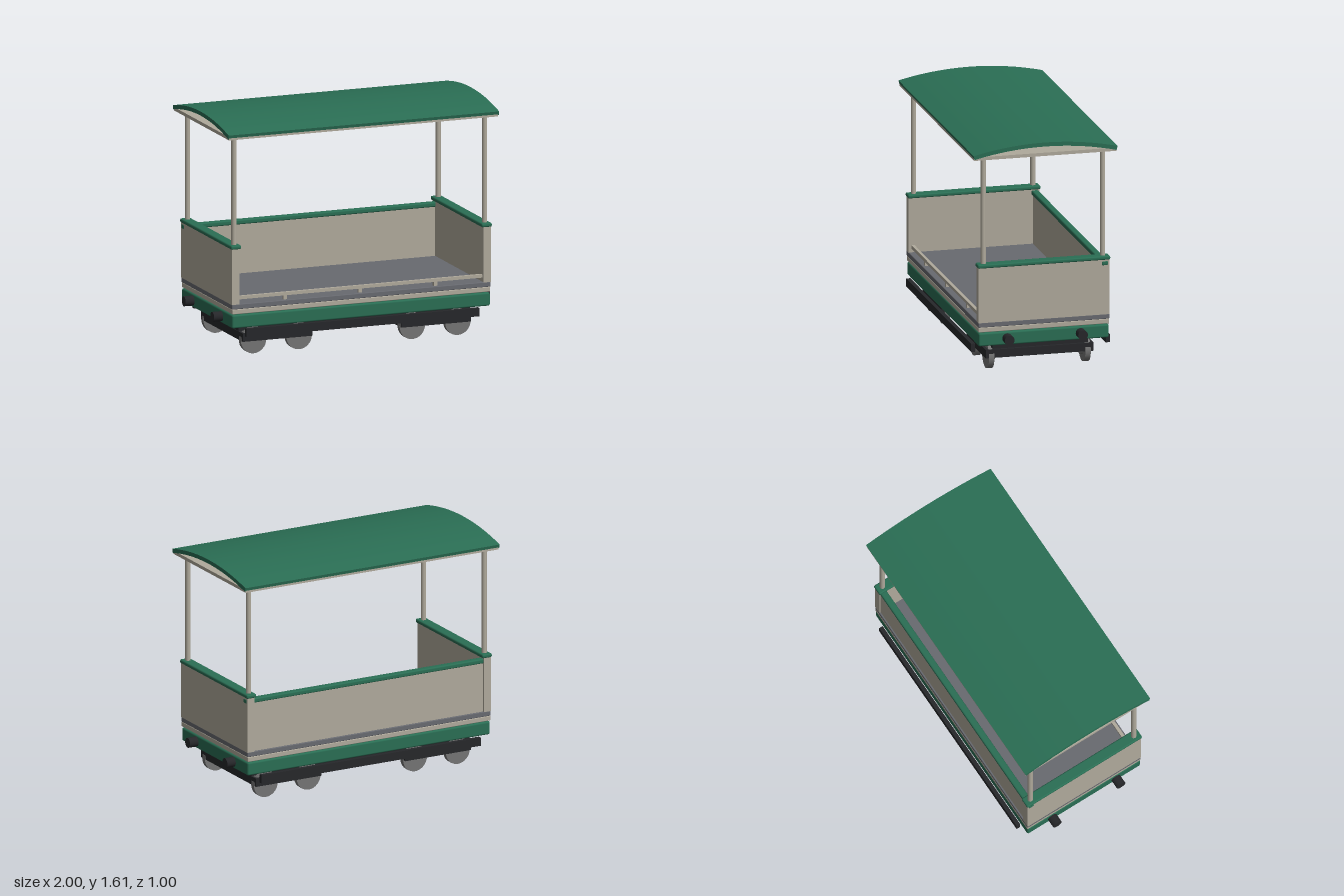
import * as THREE from 'three';
import { RoundedBoxGeometry } from 'three/addons/geometries/RoundedBoxGeometry.js';

const mat = (color) => new THREE.MeshStandardMaterial({ color });

export function createModel() {
  const model = new THREE.Group();
  const green = mat(0x2a6e54), cream = mat(0xb0aa9c), grey = mat(0x686a70);
  const black = mat(0x26272a), steel = mat(0x747474);

  const add = (name, geometry, material, x = 0, y = 0, z = 0) => {
    const mesh = new THREE.Mesh(geometry, material);
    mesh.name = name;
    mesh.position.set(x, y, z);
    model.add(mesh);
    return mesh;
  };
  // Boxes are given by their bottom and top heights
  const box = (name, material, w, y0, y1, d, x = 0, z = 0, radius = 0) => add(
    name,
    radius ? new RoundedBoxGeometry(w, y1 - y0, d, 2, radius) : new THREE.BoxGeometry(w, y1 - y0, d),
    material, x, (y0 + y1) / 2, z);

  // Floor and chassis layers
  box('chassis', green, 1.87, 0.205, 0.297, 0.905, 0, 0, 0.012);
  box('chassisSpacer', green, 1.8, 0.29, 0.31, 0.87);
  box('lowerDeck', cream, 1.87, 0.303, 0.337, 0.91, 0, 0, 0.005);
  box('floor', grey, 1.875, 0.337, 0.372, 0.91, 0, 0, 0.005);
  box('underframe', black, 1.68, 0.157, 0.206, 0.665);

  // Back wall with top rail
  box('backWall', cream, 1.79, 0.37, 0.715, 0.035, 0, -0.427);
  box('backRail', green, 1.885, 0.71, 0.743, 0.048, 0, -0.424, 0.01);

  // Low bar along the open side
  box('lowBar', cream, 1.78, 0.4, 0.422, 0.022, 0, 0.425);
  for (const x of [-0.545, 0, 0.545]) box('lowBarSupport', cream, 0.025, 0.37, 0.402, 0.02, x, 0.425);

  // Curved roof over a flat ceiling
  const R = 2.11, top = 1.61, thick = 0.028, half = Math.asin(0.5 / R);
  const section = new THREE.Shape();
  section.absarc(0, top - R, R, Math.PI / 2 - half, Math.PI / 2 + half, false);
  section.absarc(0, top - R, R - thick, Math.PI / 2 + half, Math.PI / 2 - half, true);
  section.closePath();
  const roof = new THREE.ExtrudeGeometry(section, { depth: 1.96, bevelEnabled: false, curveSegments: 32 });
  roof.translate(0, 0, -0.98).rotateY(Math.PI / 2);
  add('roof', roof, green);
  box('ceiling', cream, 1.95, 1.515, 1.538, 0.99);

  for (const sx of [-1, 1]) {
    // End walls and their caps
    box('endWall', cream, 0.055, 0.37, 0.755, 0.91, sx * 0.912);
    box('endCap', green, 0.075, 0.75, 0.777, 0.922, sx * 0.908, 0, 0.01);

    // Wheel frame
    box('wheelFrame', black, 0.505, 0.09, 0.147, 0.75, sx * 0.575);
    box('framePivot', black, 0.2, 0.14, 0.16, 0.3, sx * 0.575);

    for (const sz of [-1, 1]) {
      // Roof posts
      add('roofPost', new THREE.CylinderGeometry(0.018, 0.018, 0.75, 16), cream, sx * 0.908, 1.145, sz * 0.415);

      // Buffers
      const buffer = add('buffer', new THREE.CylinderGeometry(0.034, 0.034, 0.08, 20), black, sx * 0.96, 0.252, sz * 0.255);
      buffer.rotation.z = Math.PI / 2;

      // Wheels with inner hubs
      for (const x of [0.41, 0.74]) {
        const wheel = add('wheel', new THREE.CylinderGeometry(0.092, 0.092, 0.038, 32), steel, sx * x, 0.092, sz * 0.335);
        const hub = add('wheelHub', new THREE.CylinderGeometry(0.042, 0.042, 0.02, 20), steel, sx * x, 0.092, sz * 0.308);
        wheel.rotation.x = hub.rotation.x = Math.PI / 2;
      }
    }
  }

  // Side step boards
  for (const sz of [-1, 1]) box('stepBoard', black, 1.69, 0.147, 0.204, 0.028, 0, sz * 0.468);

  return model;
}
